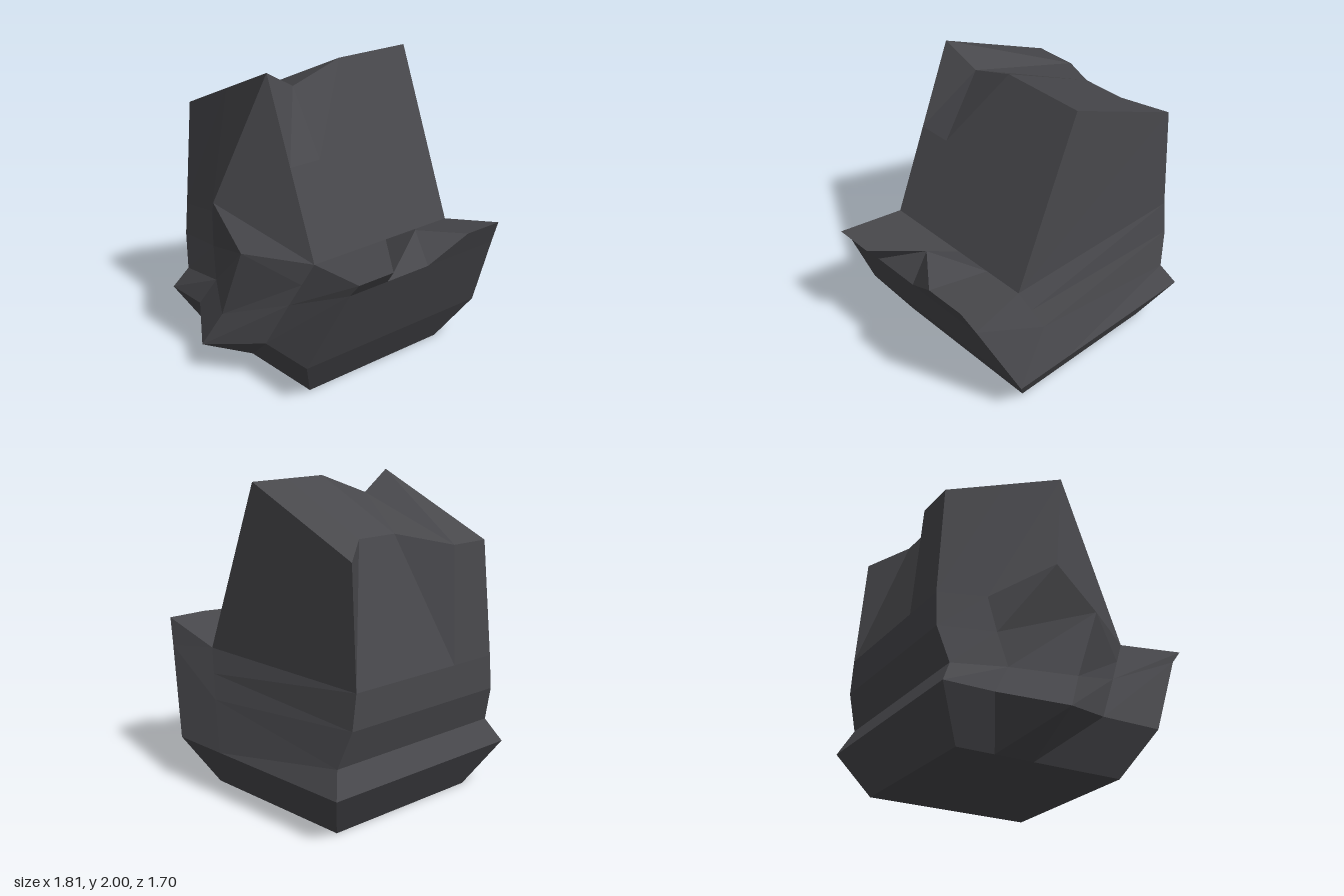
import * as THREE from 'three';

const material = new THREE.MeshStandardMaterial({ color: 0x48484c, flatShading: true });

// Faceted panel lofted between rows of points; the row direction crossed with
// the row-to-row direction points outward.
function panel(name, rows) {
  const pos = [];
  for (let r = 0; r < rows.length - 1; r++) {
    for (let c = 0; c < rows[r].length - 1; c++) {
      const a = rows[r][c], b = rows[r][c + 1];
      const d = rows[r + 1][c], e = rows[r + 1][c + 1];
      pos.push(...a, ...b, ...e, ...a, ...e, ...d);
    }
  }
  const geo = new THREE.BufferGeometry();
  geo.setAttribute('position', new THREE.Float32BufferAttribute(pos, 3));
  geo.computeVertexNormals();
  const mesh = new THREE.Mesh(geo, material);
  mesh.name = name;
  return mesh;
}

// Points sharing x and y, spread along z
const along = (x, y, zs) => zs.map((z) => [x, y, z]);

export function createModel() {
  const rock = new THREE.Group();
  rock.name = 'rock';

  // Key corners
  const peak = [0, 2, 0.45], backPeak = [0, 2, -0.68];
  const nose = [-0.22, 0.215, 0.85];
  const spine = [nose, [-0.11, 0.45, 0.76], [0.06, 0.92, 0.72], [-0.22, 1.17, 0.72], peak];
  const valleyZ = [0.45, 0.22, -0.14, -0.4, -0.68];
  const valley = along(0.44, 0.9, valleyZ);
  const ridge = [peak, [-0.04, 1.87, 0.22], [0, 2, -0.12], [0, 2, -0.4], backPeak];
  const eave = [[-0.85, 1.63, 0.45], [-0.85, 1.63, 0.17], [-0.66, 1.71, -0.15], [-0.66, 1.71, -0.44], [-0.85, 1.63, -0.68]];
  const rim = [[0.89, 0.94, 0.49], [0.89, 0.94, 0.22], [0.7, 1.05, -0.14], [0.9, 1.02, -0.4], [0.9, 1.02, -0.68]];

  // Tapered foot and its flat underside
  const foot = [-0.73, -0.48, -0.22, 0.08, 0.39].map((x) => [x, 0, 0.45]);
  foot.push([0.39, 0, -0.68], [-0.73, 0, -0.68], foot[0]);
  const girdle = [[-0.91, 0.3, 0.62], [-0.58, 0.3, 0.62], nose, [0.16, 0.3, 0.62],
    [0.57, 0.3, 0.62], [0.57, 0.3, -0.85], [-0.91, 0.3, -0.85]];
  girdle.push(girdle[0]);
  rock.add(panel('foot', [foot, girdle]));
  rock.add(panel('underside', [
    [[-0.73, 0, -0.68], [0.39, 0, -0.68]],
    [[-0.73, 0, 0.45], [0.39, 0, 0.45]],
  ]));

  // Front faces either side of the jutting spine
  rock.add(panel('frontRightFace', [
    [girdle[0], girdle[1], spine[0]],
    [[-0.83, 0.45, 0.54], [-0.46, 0.5, 0.56], spine[1]],
    [[-0.9, 0.68, 0.5], [-0.52, 0.72, 0.53], spine[2]],
    [[-0.9, 0.9, 0.48], [-0.57, 0.95, 0.5], spine[3]],
    [eave[0], [-0.425, 1.815, 0.45], peak],
  ]));
  const seam = [girdle[3], [0.3, 0.6, 0.54], [0.37, 0.75, 0.495], valley[0], peak];
  rock.add(panel('frontLeftFace', spine.map((p, i) => [p, seam[i]])));

  // Side spur with its notched rim
  const spur = new THREE.Group();
  spur.name = 'sideSpur';
  spur.add(panel('spurFront', [
    [girdle[3], girdle[4]],
    [seam[1], [0.82, 0.85, 0.5]],
    [valley[0], rim[0]],
  ]));
  spur.add(panel('spurOutside', [
    along(0.57, 0.3, [0.62, 0.2, -0.14, -0.4, -0.85]),
    along(0.82, 0.85, [0.5, 0.2, -0.14, -0.4, -0.72]),
    rim,
  ]));
  spur.add(panel('spurInside', [rim, valley]));
  spur.add(panel('spurBack', [
    [[0.57, 0.3, -0.85], [0.16, 0.3, -0.85]],
    [[0.82, 0.85, -0.72], [0.3, 0.6, -0.77]],
    [rim[4], valley[4]],
  ]));
  rock.add(spur);

  // Steep slope up to the chipped ridge, then down the other side
  rock.add(panel('steepSlope', [valley, along(0.216, 1.46, valleyZ), ridge]));
  rock.add(panel('topSlope', [ridge, eave]));

  // Grooved side wall
  rock.add(panel('groovedSide', [
    eave,
    along(-0.9, 0.9, [0.48, 0.17, 0.14, -0.39, -0.69]),
    along(-0.9, 0.68, [0.5, 0.17, 0.14, -0.39, -0.72]),
    along(-0.83, 0.45, [0.54, 0.17, 0.14, -0.39, -0.77]),
    along(-0.91, 0.3, [0.62, 0.17, 0.14, -0.39, -0.85]),
  ]));

  // Back wall
  rock.add(panel('backFace', [
    [[0.16, 0.3, -0.85], [-0.91, 0.3, -0.85]],
    [[0.3, 0.6, -0.77], [-0.83, 0.45, -0.77]],
    [[0.37, 0.75, -0.725], [-0.9, 0.68, -0.72]],
    [valley[4], [-0.9, 0.9, -0.69]],
    [backPeak, eave[4]],
  ]));

  return rock;
}
